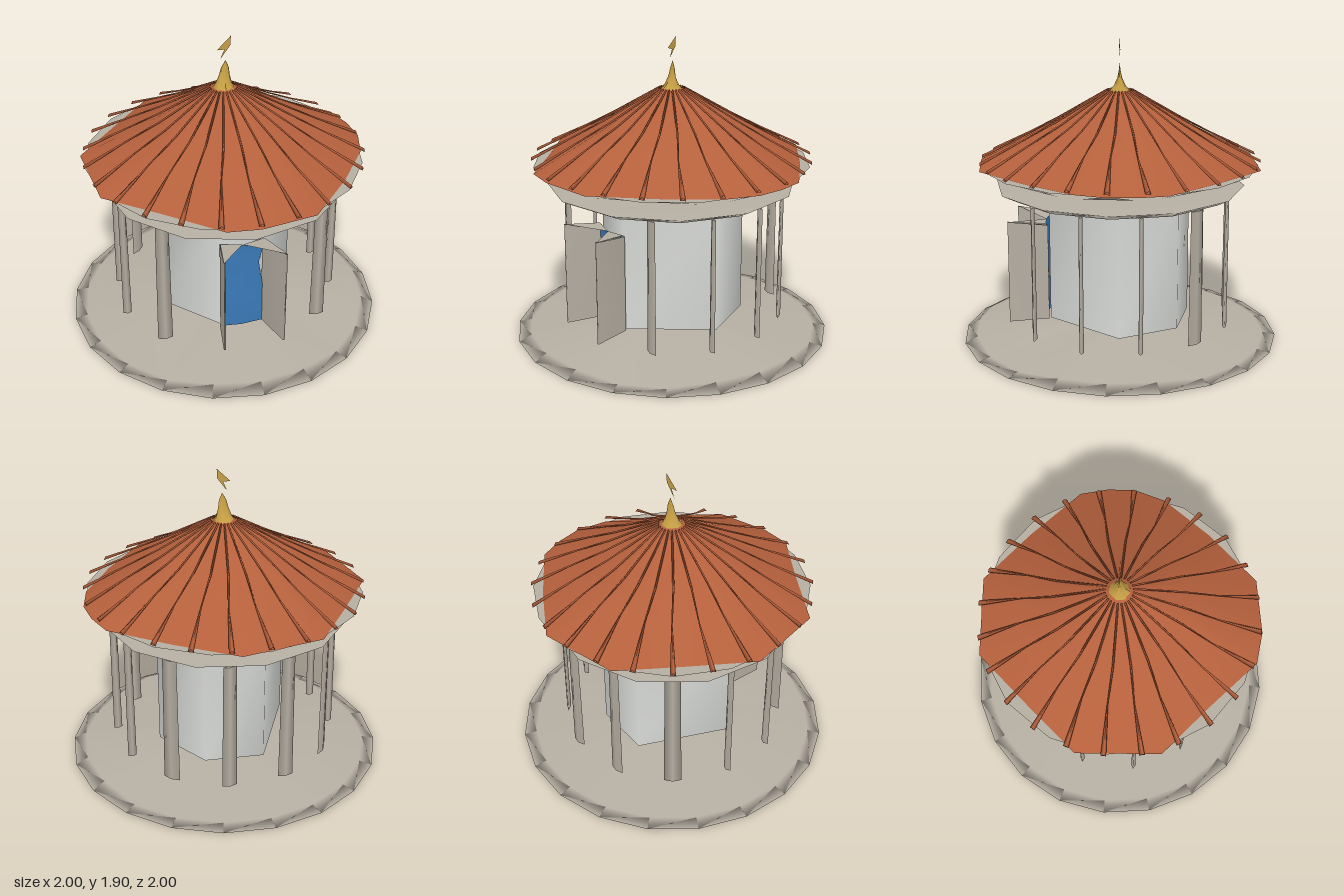
import * as THREE from 'three';

const mat = (name, color) => {
  const m = new THREE.MeshStandardMaterial({ color, side: THREE.DoubleSide });
  m.name = name;
  return m;
};

export function createModel() {
  const stone = mat('warm stone', 0xb5aea2);
  const plaster = mat('pale wall', 0xd8dad7);
  const tile = mat('terracotta', 0xb5603c);
  const cloth = mat('blue door', 0x3a7ab8);
  const gold = mat('gold', 0xc8a045);

  const model = new THREE.Group();
  const add = (name, geo, material, parent = model) => {
    const m = new THREE.Mesh(geo, material);
    m.name = name;
    parent.add(m);
    return m;
  };
  // Mesh from points and faces, with smooth normals where points are shared
  const faces = (points, index) => {
    const g = new THREE.BufferGeometry();
    g.setAttribute('position', new THREE.Float32BufferAttribute(points.flat(), 3));
    g.setIndex(index);
    g.computeVertexNormals();
    return g;
  };
  // Surface between rings of equal point count, listed top to bottom
  const loft = (rings) => {
    const n = rings[0].length, index = [];
    for (let r = 0; r < rings.length - 1; r++) {
      for (let i = 0; i < n; i++) {
        const a = r * n + i, b = r * n + (i + 1) % n;
        index.push(a, a + n, b, b, a + n, b + n);
      }
    }
    return faces(rings.flat(), index);
  };
  const polar = (a, radius, y) => [Math.sin(a) * radius, y, Math.cos(a) * radius];
  const ring = (n, radius, y) => Array.from({ length: n }, (_, i) => polar((i / n) * Math.PI * 2, radius, y));

  // Shallow mound with an uneven low rim, closed underneath
  const rim = ring(20, 1, 0);
  const shoulder = rim.map(([x, , z]) => [x * 0.92, x > 0.9 || z > 0.9 ? 0.04 : 0.015, z * 0.92]);
  add('base', loft([ring(20, 0.001, 0.12), shoulder, rim, ring(20, 0.001, 0)]), stone);

  // Inner chamber with six uneven sides
  const corners = [16, 94, 147, 196, 284, 344].map((d) => d * Math.PI / 180);
  const wallRing = (y) => corners.map((a) => polar(a, 0.45, y));
  add('chamberWall', loft([wallRing(0.95), wallRing(0.12)]), plaster);

  // Ten slender flat columns; the front pair gives way to the porch
  const columns = new THREE.Group();
  columns.name = 'columns';
  model.add(columns);
  const addColumn = (degrees, width, radius, turn) => {
    const a = degrees * Math.PI / 180;
    for (const side of [1, -1]) {
      const g = new THREE.CylinderGeometry(width * 0.45, width * 0.52, 0.83, 4).scale(1, 1, 0.026 / width);
      const c = add('column', g, stone, columns);
      c.position.set(side * Math.sin(a) * radius, 0.535, Math.cos(a) * radius);
      c.rotation.y = side * turn;
    }
  };
  addColumn(46, 0.09, 0.685, 0);
  addColumn(76, 0.052, 0.7, 0);
  addColumn(105, 0.052, 0.69, 0);
  addColumn(135, 0.105, 0.695, Math.PI * 0.75);
  addColumn(165, 0.09, 0.695, 0);

  // Ring beam and ceiling above the columns
  add('ringBeam', loft([ring(12, 0.001, 0.975), ring(12, 0.78, 0.985), ring(12, 0.7, 0.945)]), stone);
  add('ceiling', loft([ring(12, 0.7, 0.945), ring(12, 0.001, 0.955)]), stone);

  // Blue door leaf, narrow at the waist and bulging a little
  const outline = [[0.12, 0.135, 0.14], [0.3, 0.13, 0.14], [0.42, 0.125, 0.135], [0.58, 0.105, 0.11], [0.68, 0.13, 0.135], [0.74, 0.14, 0.14]];
  const doorPoints = [], doorIndex = [];
  outline.forEach(([y, l, r], i) => {
    doorPoints.push([-l, y, 0.45], [0, y, i % 2 ? 0.476 : 0.464], [r, y, 0.45]);
    if (i === 0) return;
    const b = i * 3;
    for (const k of [0, 1]) doorIndex.push(b - 3 + k, b - 2 + k, b + k, b - 2 + k, b + 1 + k, b + k);
  });
  add('door', faces(doorPoints, doorIndex), cloth);

  // Porch side walls, splaying outwards, with broken lintel corners
  for (const [side, front, back] of [[-1, -0.17, -0.135], [1, 0.22, 0.145]]) {
    const t = 0.012 * side;
    const section = (y1, y2) => [[back, y1, 0.44], [front, y2, 0.68], [front - t, y2, 0.68], [back - t, y1, 0.44]];
    add(side < 0 ? 'porchWallRight' : 'porchWallLeft', loft([section(0.74, 0.775), section(0.12, 0.12)]), stone);
    add('porchLintelCorner', faces([[front, 0.775, 0.68], [back, 0.75, 0.45], [0, 0.738, 0.47]], [0, 1, 2]), stone);
  }

  // Eaves: flat soffit with hanging triangular facets, wider on the diagonals
  const soffit = new THREE.RingGeometry(0.77, 0.86, 16).rotateX(Math.PI / 2).translate(0, 1.117, 0);
  add('soffit', soffit, stone);
  const teeth = [], toothIndex = [];
  for (let i = 0; i < 8; i++) {
    const a = (i / 8) * Math.PI * 2, h = i % 2 ? 0.42 : 0.2;
    teeth.push(polar(a - h, 0.79, 1.08), polar(a + h, 0.79, 1.08), polar(a, 0.85, 1.117));
    toothIndex.push(i * 3, i * 3 + 1, i * 3 + 2);
  }
  add('eavesFacets', faces(teeth, toothIndex), stone);

  // Conical roof with an uneven eaves line (x, z pairs, anticlockwise from the front)
  const eaves = [[0, 0.88], [0.34, 0.82], [0.62, 0.5], [0.83, 0.2], [0.885, 0], [0.87, -0.17], [0.82, -0.34], [0.5, -0.62],
    [0.17, -0.87], [-0.33, -0.82], [-0.6, -0.5], [-0.87, -0.17], [-0.82, 0.34], [-0.5, 0.6], [-0.2, 0.86]];
  const roofRing = (t, sag) => eaves.map(([x, z]) => [x * t, 1.12 + 0.455 * (1 - t) / 0.93 - sag, z * t]);
  add('roof', loft([roofRing(0.07, 0), roofRing(0.5, 0.012), roofRing(1, 0)]), tile);

  // Thin ribs radiating over the roof, flaring at the eaves
  const ribs = new THREE.Group();
  ribs.name = 'roofRibs';
  model.add(ribs);
  const ribSection = (r, y, x, w, h) => [[x - w, y, r], [x + w, y - h * 0.3, r], [x + w * 0.2, y + h, r]];
  for (let i = 0; i < 24; i++) {
    const rib = add('roofRib', loft([
      ribSection(0.08, 1.572, 0, 0.006, 0.01),
      ribSection(0.4, 1.385, 0.006, 0.006, 0.008),
      ribSection(0.6, 1.277, -0.004, 0.004, 0.008),
      ribSection(0.872, 1.137, 0, 0.017, 0.014),
    ]), tile, ribs);
    rib.rotation.y = (i / 24) * Math.PI * 2;
  }

  // Gold finial, flattened towards its point, and the crooked tip above it
  const profile = [[0.068, 1.565], [0.05, 1.6], [0.034, 1.65], [0.024, 1.7], [0.001, 1.745]].map(([r, y]) => new THREE.Vector2(r, y));
  const finial = new THREE.LatheGeometry(profile, 7);
  const p = finial.attributes.position;
  for (let i = 0; i < p.count; i++) {
    const k = (p.getY(i) - 1.565) / 0.18;
    p.setX(i, p.getX(i) + 0.012 * k);
    p.setZ(i, p.getZ(i) * (1 - 0.8 * Math.min(1, k * 1.5)));
  }
  finial.computeVertexNormals();
  add('finial', finial, gold);
  const tip = new THREE.Shape([[-0.04, 1.815], [0.045, 1.9], [0.042, 1.84], [-0.02, 1.755], [0.005, 1.815]].map(([x, y]) => new THREE.Vector2(x, y)));
  add('finialTip', new THREE.ShapeGeometry(tip), gold);

  return model;
}
